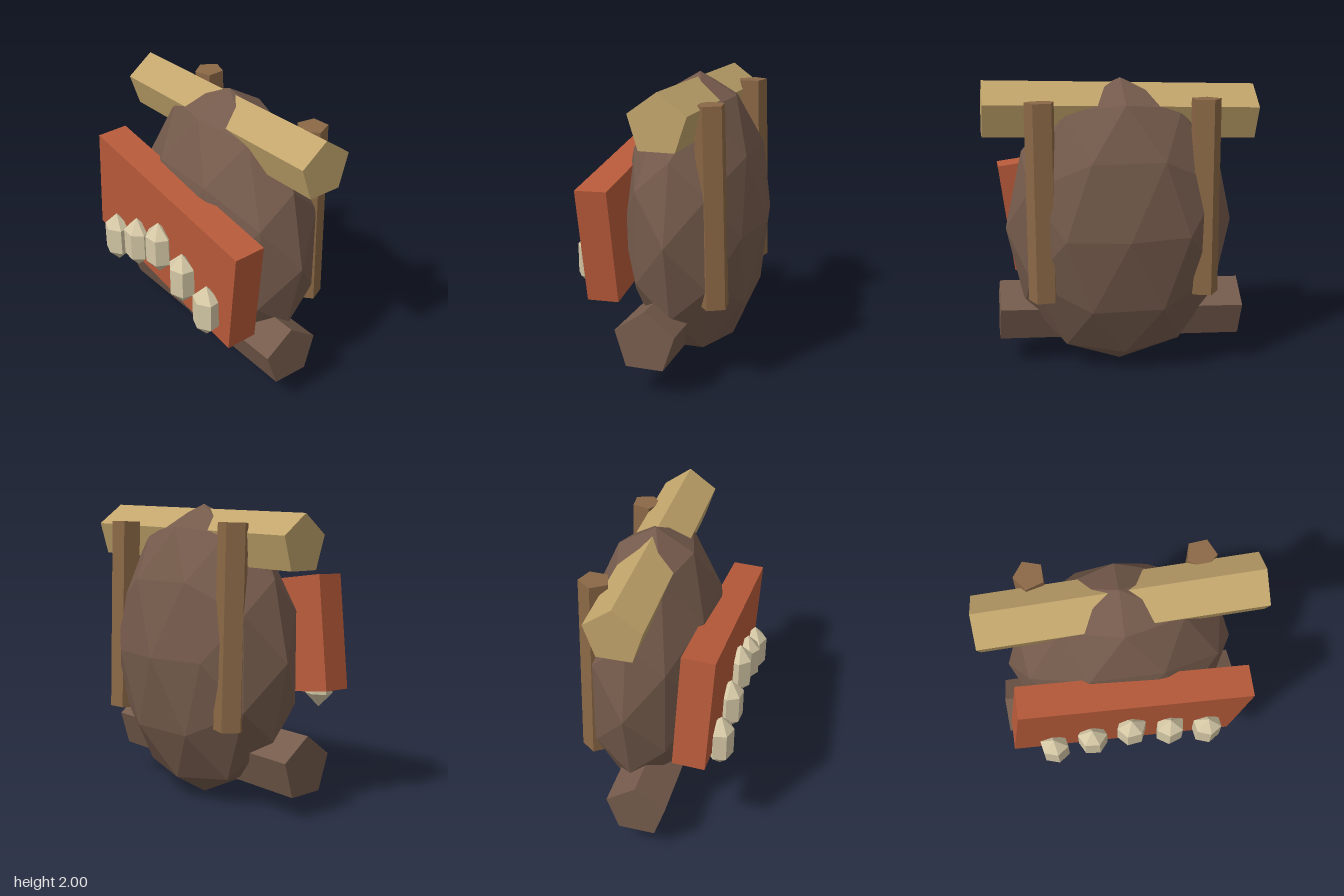
import * as THREE from 'three';

export function createModel() {
  const model = new THREE.Group();
  const material = (name, color) => {
    const m = new THREE.MeshStandardMaterial({ color, flatShading: true });
    m.name = name;
    return m;
  };
  const darkBrown = material('dark brown', 0x755b4c);
  const tan = material('tan', 0xc2a56c);
  const rust = material('rust red', 0xb85a3a);
  const woodBrown = material('wood brown', 0x8b6846);
  const bone = material('bone', 0xd5c8a6);

  const add = (name, geometry, mat, position, rotation = [0, 0, 0]) => {
    const mesh = new THREE.Mesh(geometry, mat);
    mesh.name = name;
    mesh.position.set(...position);
    mesh.rotation.set(...rotation);
    model.add(mesh);
    return mesh;
  };

  // faceted egg-shaped body, flattened front to back
  const body = new THREE.IcosahedronGeometry(1, 1);
  body.rotateY(Math.PI / 2);
  body.scale(0.78, 1, 0.48);
  add('body', body, darkBrown, [-0.01, 1, -0.1]);

  // five-sided beams lying across the body, one ridge upwards
  const beam = (radius, length) =>
    new THREE.CylinderGeometry(radius, radius, length, 5, 1, false, Math.PI / 2).rotateZ(Math.PI / 2);
  add('topBeam', beam(0.194, 1.82), tan, [-0.005, 1.776, -0.103], [0, 0.011, 0.033]);
  add('bottomBeam', beam(0.213, 1.7), darkBrown, [-0.023, 0.349, 0.005], [0, -0.006, 0.033]);

  // tilted front board
  add('frontBoard', new THREE.BoxGeometry(1.54, 0.77, 0.215), rust, [-0.013, 1.061, 0.355], [0.035, 0, -0.13]);

  // upright posts on the back
  for (const side of [-1, 1]) {
    const post = new THREE.CylinderGeometry(0.102, 0.102, 1.31, 5);
    post.rotateY(side < 0 ? -0.3 : 0.1);
    add(side < 0 ? 'rightPost' : 'leftPost', post, woodBrown, [side * 0.54, 1.226, -0.35], [0.03, 0, 0]);
  }

  // arc of pointed teeth on the board
  for (let i = -2; i <= 2; i++) {
    const tooth = new THREE.SphereGeometry(1, 6, 3);
    tooth.rotateY(i * 0.25 + 0.15);
    tooth.scale(0.115, 0.195, 0.1);
    add('tooth', tooth, bone, [-0.01 + i * 0.267, 1 - Math.abs(i) * 0.1, 0.49]);
  }

  return model;
}
